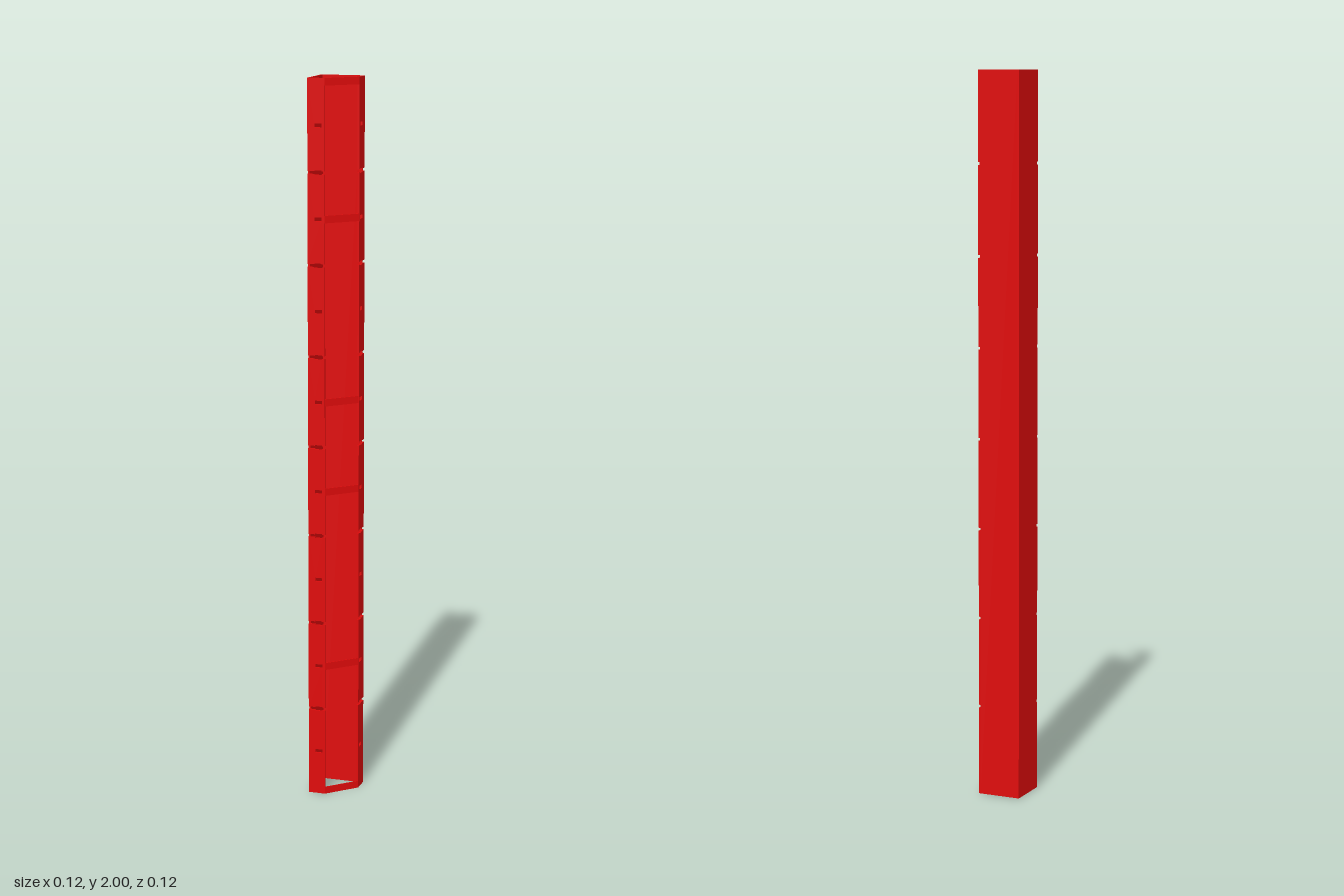
import * as THREE from 'three';

const H = 0.061;       // half width of the post
const T = 0.005;       // sheet thickness
const FLANGE = 0.048;  // flange width
const STEP = 0.25;     // spacing of the cuts across the flanges
const GAP = 0.004;     // half height of a cut
const SLOT = [0.02, 0.04, 0.005]; // slot start, end and half height

export function createModel() {
  const post = new THREE.Group();
  post.name = 'cornerPost';
  const material = new THREE.MeshStandardMaterial({ color: 0xe00b0b, flatShading: true });

  const add = (name, geometry, x, y, z, turn = 0) => {
    const mesh = new THREE.Mesh(geometry, material);
    mesh.name = name;
    mesh.position.set(x, y, z);
    mesh.rotation.y = turn;
    post.add(mesh);
  };

  // Two full walls meeting at the back corner
  add('sideWall', new THREE.BoxGeometry(T, 2, 2 * H - T), -H + T / 2, 1, -T / 2);
  add('backWall', new THREE.BoxGeometry(2 * H - 2 * T, 2, T), 0, 1, -H + T / 2);

  // Flange segments between cuts, slotted in the middle and notched at the cuts
  const [a, b, h] = SLOT;
  const segments = [];
  for (let i = 0; i < 8; i++) {
    const y0 = i === 0 ? 0 : i * STEP + GAP;
    const y1 = i === 7 ? 2 : (i + 1) * STEP - GAP;
    const n0 = i === 0 ? 0 : 0.002;
    const n1 = i === 7 ? 0 : 0.002;
    const points = [[0, y0]];
    if (n0) points.push([a, y0], [a, y0 + n0], [b, y0 + n0], [b, y0]);
    points.push([FLANGE, y0], [FLANGE, y1]);
    if (n1) points.push([b, y1], [b, y1 - n1], [a, y1 - n1], [a, y1]);
    points.push([0, y1]);
    const shape = new THREE.Shape(points.map(p => new THREE.Vector2(...p)));
    const m = (i + 0.5) * STEP;
    shape.holes.push(new THREE.Path(
      [[a, m - h], [a, m + h], [b, m + h], [b, m - h]].map(p => new THREE.Vector2(...p))));
    segments.push(shape);
  }
  const flange = new THREE.ExtrudeGeometry(segments, { depth: T, bevelEnabled: false });
  add('frontFlange', flange, -H, 0, H - T);
  add('rightFlange', flange, H, 0, -H, -Math.PI / 2);

  // Thin diagonal ties across the open corner
  const edge = -H + FLANGE;
  const length = (H - edge) * Math.SQRT2;
  const middle = (H + edge) / 2 - 0.001;
  for (const y of [0.01, 0.375, 0.875, 1.125, 1.625, 1.99]) {
    add('diagonalTie', new THREE.BoxGeometry(length, 0.02, 0.002), middle, y, middle, Math.PI / 4);
  }

  return post;
}
